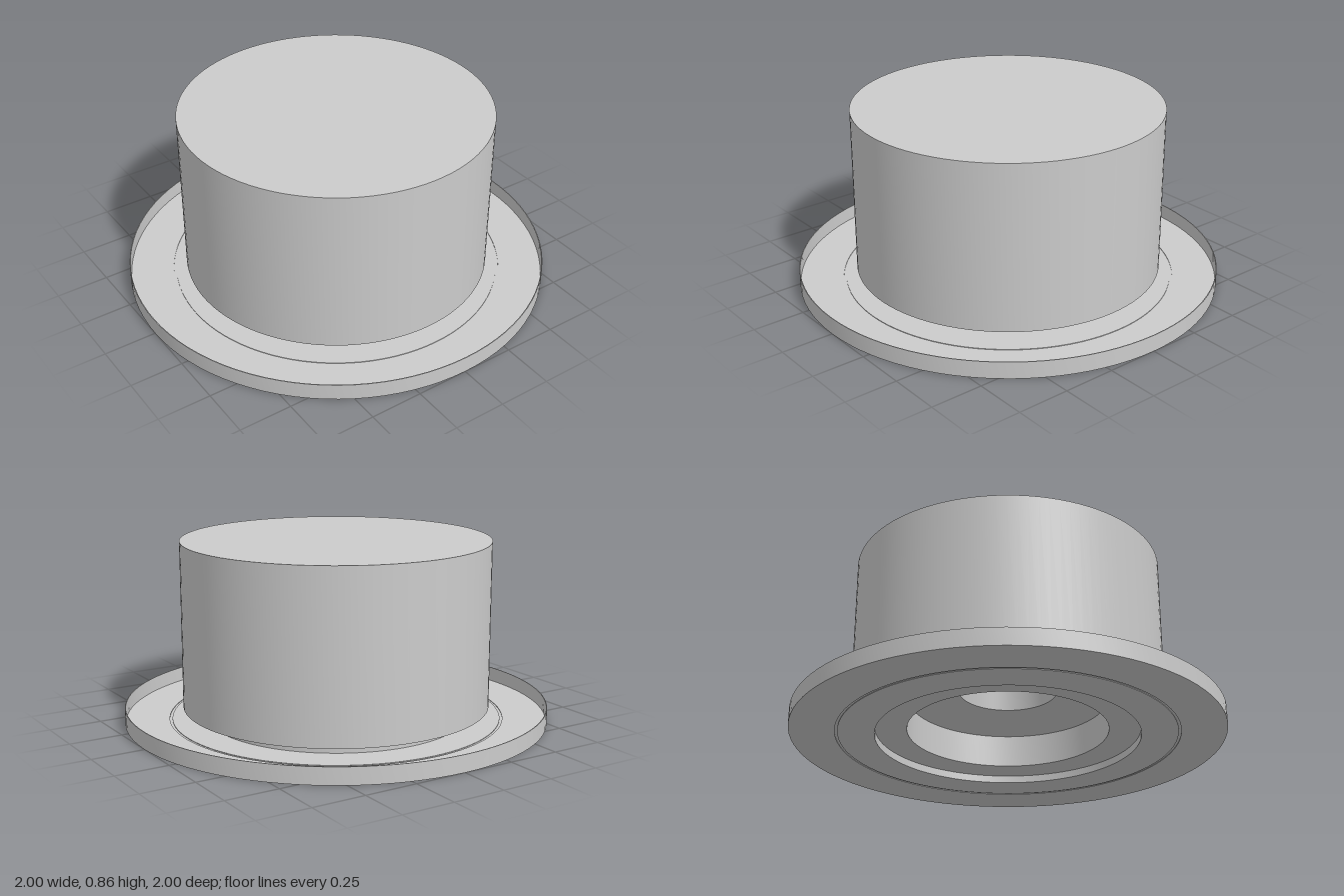
import * as THREE from 'three';
import { toCreasedNormals } from 'three/addons/utils/BufferGeometryUtils.js';

const material = new THREE.MeshStandardMaterial({ color: 0xcccccc, side: THREE.DoubleSide });

// Revolve an [r, y] profile about the vertical axis, keeping its corners sharp
function turned(name, profile) {
  const points = profile.map(([r, y]) => new THREE.Vector2(r, y));
  const geometry = toCreasedNormals(new THREE.LatheGeometry(points, 96), 0.15);
  const mesh = new THREE.Mesh(geometry, material);
  mesh.name = name;
  return mesh;
}

export function createModel() {
  const group = new THREE.Group();
  group.name = 'flangedCap';

  // Cylinder with a stepped blind bore below, standing on a neck and base plate
  group.add(turned('body', [
    [0, 0.33], [0.22, 0.33], [0.23, 0.235], [0.465, 0.19], [0.465, 0.035],
    [0.612, 0.035], [0.612, 0], [0.78, 0], [0.78, 0.01], [0.62, 0.01],
    [0.62, 0.065], [0.727, 0.065], [0.727, 0.855], [0, 0.855],
  ]));

  // Shallow outer tray with a thin upright rim
  group.add(turned('flange', [
    [0.792, 0], [1, 0], [1, 0.08], [0.996, 0.08], [0.996, 0.01], [0.792, 0.01], [0.792, 0],
  ]));

  // Narrow web at the bottom of the groove between plate and tray
  group.add(turned('grooveWeb', [
    [0.78, 0.003], [0.792, 0.003], [0.792, 0.007], [0.78, 0.007], [0.78, 0.003],
  ]));

  return group;
}
